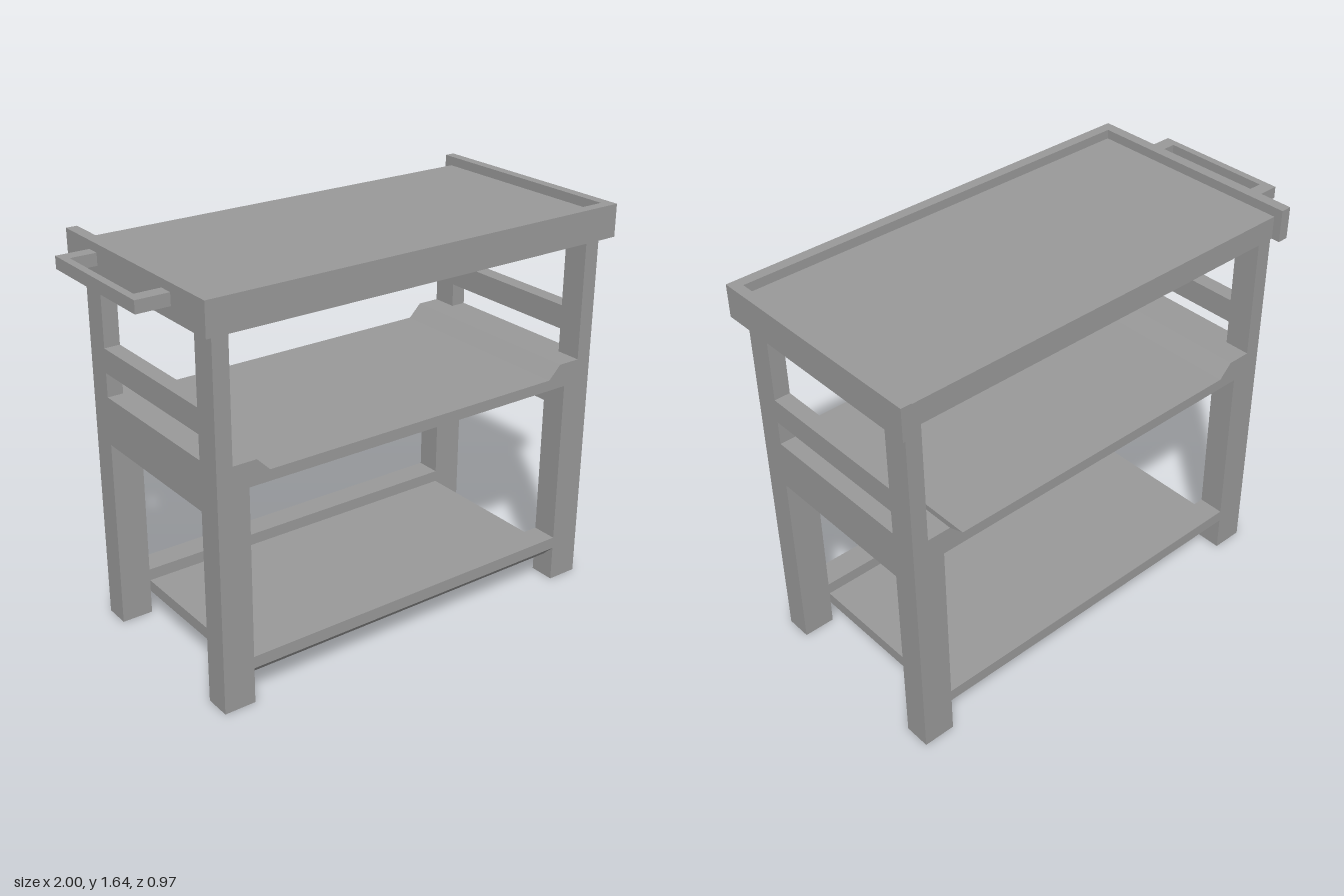
import * as THREE from 'three';

export function createModel() {
  const group = new THREE.Group();
  const grey = new THREE.MeshStandardMaterial({ color: 0x999999 });
  grey.name = 'grey';

  const add = (name, geometry) => {
    const mesh = new THREE.Mesh(geometry, grey);
    mesh.name = name;
    group.add(mesh);
    return mesh;
  };
  // Box given by its lower and upper limits on each axis
  const box = (name, x0, x1, y0, y1, z0, z1) =>
    add(name, new THREE.BoxGeometry(x1 - x0, y1 - y0, z1 - z0)
      .translate((x0 + x1) / 2, (y0 + y1) / 2, (z0 + z1) / 2));
  const shapeOf = (points) => new THREE.Shape(points.map(([a, b]) => new THREE.Vector2(a, b)));

  const legOut = 0.443, legIn = 0.334;   // leg depth limits
  const cx = 0.069;                      // middle of the table body
  const half = 0.889, lowerIn = 0.757, upperIn = 0.823;

  // End frames: stepped legs, side panel and side rail
  for (const s of [-1, 1]) {
    const side = s > 0 ? 'left' : 'right';
    const span = (inner) => [cx + s * inner, cx + s * half].sort((a, b) => a - b);
    const low = span(lowerIn), up = span(upperIn);
    for (const f of [-1, 1]) {
      const end = f > 0 ? 'Front' : 'Back';
      const z = [f * legIn, f * legOut].sort((a, b) => a - b);
      box(side + end + 'LowerLeg', ...low, 0, 0.9, ...z);
      box(side + end + 'UpperLeg', ...up, 1, 1.505, ...z);
    }
    box(side + 'SidePanel', ...low, 0.8, 0.9, -legIn, legIn);
    box(side + 'SideRail', ...up, 1.1, 1.2, -legIn, legIn);
  }

  // Middle shelf with raised, bevelled ends
  const middle = shapeOf([
    [cx - half, 0.9], [cx + half, 0.9], [cx + half, 1], [0.795, 1],
    [0.74, 0.945], [-0.6, 0.945], [-0.655, 1], [cx - half, 1],
  ]);
  add('middleShelf', new THREE.ExtrudeGeometry(middle, { depth: 2 * legOut, bevelEnabled: false })
    .translate(0, 0, -legOut));

  // Bottom shelf: cross-section in z and y with lips and chamfered lower edges
  const bottom = shapeOf([
    [-legOut + 0.05, 0.1], [legOut - 0.05, 0.1], [legOut, 0.15], [legOut, 0.2], [legIn, 0.2],
    [legIn, 0.15], [-legIn, 0.15], [-legIn, 0.2], [-legOut, 0.2], [-legOut, 0.15],
  ]);
  add('bottomShelf', new THREE.ExtrudeGeometry(bottom, { depth: 2 * lowerIn, bevelEnabled: false })
    .rotateY(-Math.PI / 2).translate(cx + lowerIn, 0, 0));

  // Table top with a rim on the front and both ends, open at the back
  const x0 = -0.865, x1 = 1, inL = -0.82, inR = 0.958;
  box('tableTop', inL, inR, 1.505, 1.6, -0.45, 0.44);
  box('frontRim', inL, inR, 1.505, 1.638, 0.44, 0.485);
  box('rightRim', x0, inL, 1.505, 1.638, -0.485, 0.485);
  box('leftRim', inR, x1, 1.505, 1.638, -0.488, 0.485);

  // Push handle on the right end
  box('handleGrip', -1, -0.97, 1.555, 1.604, -0.305, 0.268);
  box('handleBackArm', -0.97, x0, 1.555, 1.604, -0.305, -0.25);
  box('handleFrontArm', -0.97, x0, 1.555, 1.604, 0.21, 0.268);

  return group;
}
